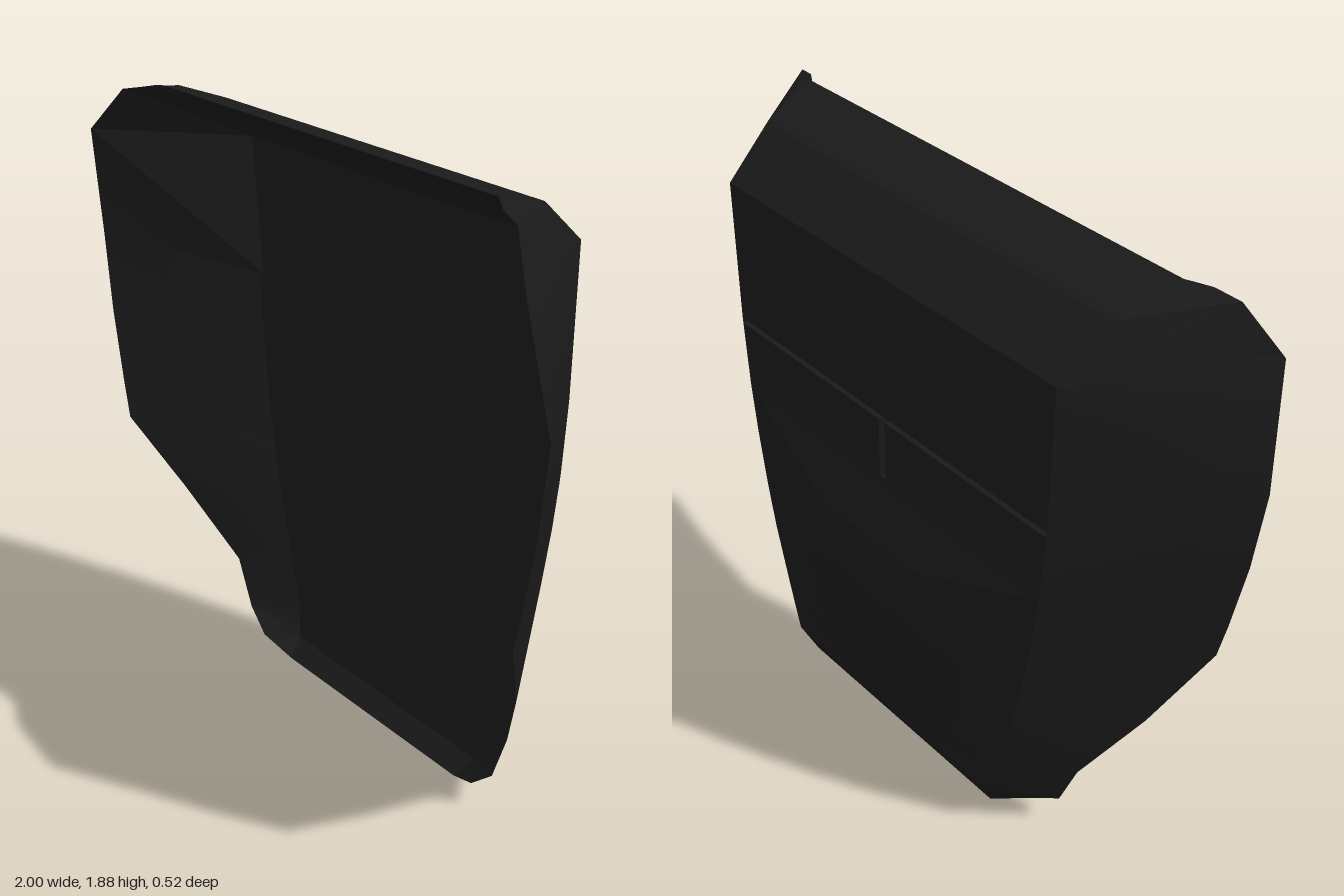
import * as THREE from 'three';
import { toCreasedNormals } from 'three/addons/utils/BufferGeometryUtils.js';

// Outer shell cross-sections from the bottom up:
// [y, z at crease, z at centre, crease x, wing edge x, wing edge y, wing edge z, feature]
// feature 1 = centre slot, 2 = horizontal seam groove (these rows shape the panel only)
const OUTER = [
  [0.00, -0.06, -0.06, 0.41, 0.46, 0.02, -0.05],
  [0.06, -0.155, -0.155, 0.43, 0.52, 0.05, -0.03],
  [0.16, -0.20, -0.20, 0.46, 0.60, 0.12, -0.035],
  [0.30, -0.20, -0.216, 0.50, 0.66, 0.28, -0.03],
  [0.53, -0.20, -0.243, 0.56, 0.80, 0.53, 0.08],
  [0.68, -0.20, -0.26, 0.59, 0.91, 0.78, 0.21],
  [0.87, -0.20, -0.26, 0.62, 0.935, 0.90, 0.21],
  [1.02, -0.20, -0.20, 0.638, 0.975, 1.13, 0.21],
  [1.05, -0.20, -0.20, 0.641, 0.98, 1.18, 0.21],
  [1.053, -0.20, -0.20, 0.641, 0.98, 1.18, 0.21, 1],
  [1.245, -0.20, -0.20, 0.653, 1.0, 1.38, 0.21, 1],
  [1.247, -0.20, -0.18, 0.653, 1.0, 1.38, 0.21, 2],
  [1.261, -0.20, -0.18, 0.654, 1.0, 1.38, 0.21, 2],
  [1.263, -0.20, -0.20, 0.655, 1.0, 1.38, 0.21],
  [1.70, -0.20, -0.20, 0.662, 0.95, 1.73, 0.26],
  [1.83, -0.05, -0.05, 0.68, 0.85, 1.86, 0.20],
  [1.88, 0.09, 0.09, 0.71, 0.78, 1.875, 0.18],
  [1.885, 0.14, 0.14, 0.72, 0.74, 1.884, 0.15],
];

const SHELL = OUTER.filter((row) => !row[7]);

// Inner lining cross-sections: [y, z, crease x, SHELL row whose wing edge it meets]
const INNER = [
  [0.00, -0.06, 0.41, 0],
  [0.05, -0.115, 0.435, 1],
  [0.14, -0.14, 0.465, 2],
  [0.30, -0.142, 0.51, 3],
  [0.53, -0.142, 0.565, 4],
  [0.68, -0.142, 0.596, 5],
  [0.87, -0.142, 0.621, 6],
  [1.02, -0.142, 0.638, 7],
  [1.27, -0.142, 0.658, 9],
  [1.272, -0.142, 0.638, 9],
  [1.70, -0.142, 0.68, 10],
  [1.79, -0.01, 0.684, 11],
  [1.86, 0.10, 0.70, 12],
  [1.885, 0.14, 0.72, 13],
];

const material = new THREE.MeshStandardMaterial({
  color: 0x1a1a1a, side: THREE.DoubleSide,
});

// Joins equally long rows of points into a sheet, with mirrored diagonals
function sheet(name, rows, flip) {
  const n = rows[0].length;
  const index = [];
  for (let r = 0; r < rows.length - 1; r++) {
    for (let c = 0; c < n - 1; c++) {
      const a = r * n + c, b = a + 1, d = a + n, e = d + 1;
      const tris = c < (n - 1) / 2 ? [a, b, d, b, e, d] : [a, b, e, a, e, d];
      index.push(...(flip ? tris : tris.reverse()));
    }
  }
  const geometry = new THREE.BufferGeometry();
  geometry.setAttribute('position', new THREE.Float32BufferAttribute(rows.flat(2), 3));
  geometry.setIndex(index);
  const mesh = new THREE.Mesh(toCreasedNormals(geometry, 0.35), material);
  mesh.name = name;
  return mesh;
}

// Adds the mirror image of a half cross-section
const mirrored = (half) =>
  [...half, ...half.map(([x, y, z]) => [-x, y, z]).reverse()];

// One cross-section of the back panel, with its bulge, seam groove and slot
const panelRow = ([y, zEdge, zMid, crease, , , , feature]) => mirrored([
  [crease, y, zEdge],
  [crease - 0.01, y, feature === 2 ? zMid : zEdge],
  [0.2, y, zMid],
  [0.012, y, zMid],
  [0.009, y, feature === 1 ? zMid + 0.02 : zMid],
]);

// One cross-section of the lining, from wing edge to wing edge
const liningRow = ([y, z, crease, k]) =>
  mirrored([SHELL[k].slice(4, 7), [crease, y, z]]);

// One cross-section of a side wing, from crease to free edge
const wingRow = (side) => ([y, z, , crease, ex, ey, ez]) =>
  [[side * crease, y, z], [side * ex, ey, ez]];

export function createModel() {
  const group = new THREE.Group();
  group.name = 'seatBackShell';
  group.add(
    sheet('backPanel', OUTER.map(panelRow), true),
    sheet('leftWing', SHELL.map(wingRow(1)), false),
    sheet('rightWing', SHELL.map(wingRow(-1)), true),
    sheet('innerLining', INNER.map(liningRow), false),
  );
  return group;
}
